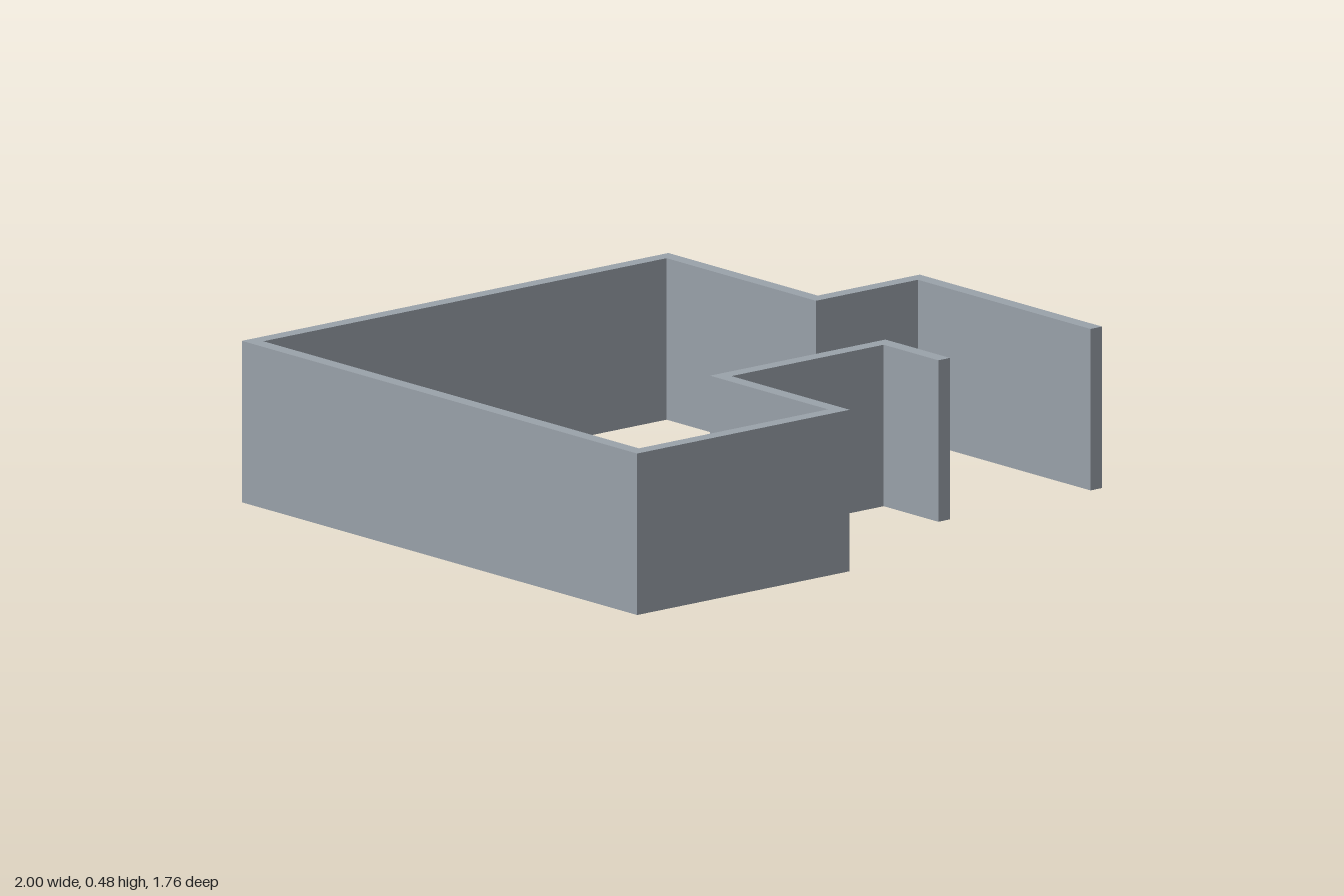
import * as THREE from 'three';

const HEIGHT = 0.48;
const HALF = 0.022; // half the wall thickness

// Wall centreline on the floor as [x, z], from one side of the doorway to the other
const PATH = [
  [0.402, 0.597], [0.402, 0.332], [-0.218, 0.332], [-0.218, 0.858], [-0.978, 0.858],
  [-0.978, -0.858], [0.592, -0.858], [0.592, -0.193], [0.978, -0.193], [0.978, 0.597],
].map(([x, z]) => new THREE.Vector2(x, -z));

// Offset the centreline sideways; every corner is square, so the two normals add up to the mitre
function offsetPath(path, distance) {
  const normals = path.slice(1).map((p, i) => {
    const d = p.clone().sub(path[i]).normalize();
    return new THREE.Vector2(-d.y, d.x);
  });
  return path.map((p, i) => {
    const q = p.clone();
    if (i > 0) q.addScaledVector(normals[i - 1], distance);
    if (i < normals.length) q.addScaledVector(normals[i], distance);
    return q;
  });
}

export function createModel() {
  const group = new THREE.Group();
  group.name = 'floorPlanWalls';

  const wallGrey = new THREE.MeshStandardMaterial({ color: 0x9aa2aa });
  wallGrey.name = 'wallGrey';

  // Continuous wall: both offset sides joined into one outline and raised to full height
  const outline = [...offsetPath(PATH, HALF), ...offsetPath(PATH, -HALF).reverse()];
  const geometry = new THREE.ExtrudeGeometry(new THREE.Shape(outline), {
    depth: HEIGHT,
    bevelEnabled: false,
  });
  geometry.rotateX(-Math.PI / 2);

  const walls = new THREE.Mesh(geometry, wallGrey);
  walls.name = 'walls';
  group.add(walls);
  return group;
}
